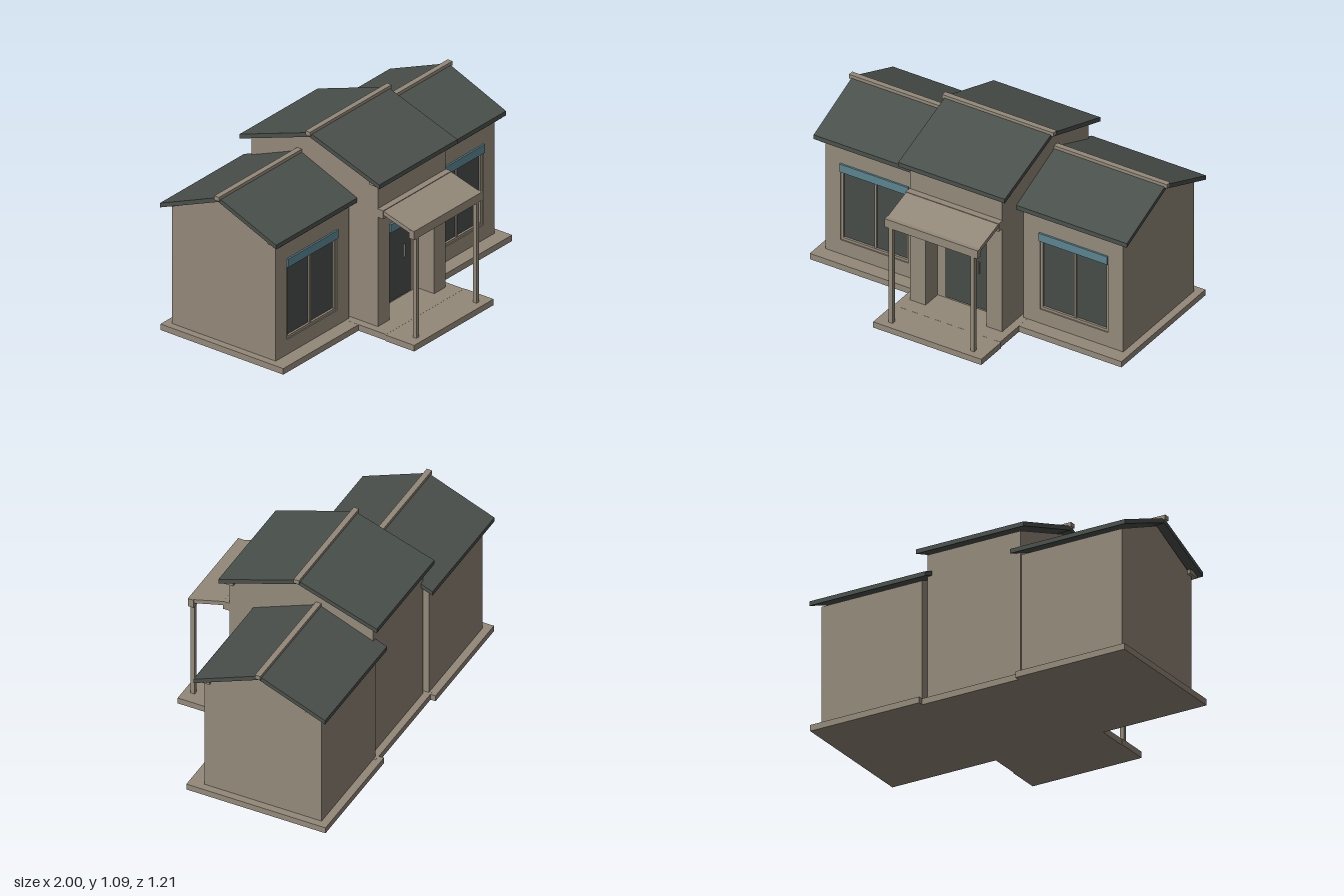
import * as THREE from 'three';

const mat = (name, color, side = THREE.FrontSide) => {
  const m = new THREE.MeshStandardMaterial({ color, side });
  m.name = name;
  return m;
};

export function createModel() {
  const house = new THREE.Group();
  house.name = 'house';
  const wall = mat('warm stone', 0x938979);
  const slate = mat('dark slate', 0x4a504b);
  const glass = mat('dark glass', 0x464c48);
  const teal = mat('teal trim', 0x5a8490);

  const add = (parent, name, geo, material) => {
    const mesh = new THREE.Mesh(geo, material);
    mesh.name = name;
    parent.add(mesh);
    return mesh;
  };
  // Box given by its limits on each axis
  const box = (parent, name, material, x0, x1, y0, y1, z0, z1) => {
    const geo = new THREE.BoxGeometry(x1 - x0, y1 - y0, z1 - z0);
    geo.translate((x0 + x1) / 2, (y0 + y1) / 2, (z0 + z1) / 2);
    return add(parent, name, geo, material);
  };
  // Side profile of [z, y] points extruded along x
  const profile = (parent, name, material, points, x0, x1) => {
    const shape = new THREE.Shape(points.map(([z, y]) => new THREE.Vector2(-z, y)));
    const geo = new THREE.ExtrudeGeometry(shape, { depth: x1 - x0, bevelEnabled: false });
    geo.rotateY(Math.PI / 2);
    geo.translate(x0, 0, 0);
    return add(parent, name, geo, material);
  };
  // Front wall layer with one rectangular opening
  const frontWall = (parent, name, x0, x1, y0, y1, z0, z1, [a, b, c, d]) => {
    const rect = (C, l, r, bt, t) => new C([[l, bt], [r, bt], [r, t], [l, t]].map(p => new THREE.Vector2(...p)));
    const shape = rect(THREE.Shape, x0, x1, y0, y1);
    shape.holes.push(rect(THREE.Path, a, b, c, d));
    const geo = new THREE.ExtrudeGeometry(shape, { depth: z1 - z0, bevelEnabled: false });
    geo.translate(0, 0, z0);
    return add(parent, name, geo, wall);
  };
  // Pitched roof slab with a ridge cap
  const roof = (parent, x0, x1, front, back, ridge, eave, apex, cap0, cap1) => {
    const t = 0.026;
    profile(parent, 'roofSlab', slate, [
      [front, eave], [ridge, apex], [back, eave],
      [back, eave + t], [ridge, apex + t], [front, eave + t]], x0, x1);
    box(parent, 'ridgeCap', wall, cap0, cap1, apex + 0.013, apex + 0.038, ridge - 0.016, ridge + 0.016);
  };

  // Side wings
  for (const s of [1, -1]) {
    const wing = new THREE.Group();
    wing.name = s > 0 ? 'leftWing' : 'rightWing';
    house.add(wing);
    const b = (name, m, x0, x1, ...rest) =>
      box(wing, name, m, Math.min(s * x0, s * x1), Math.max(s * x0, s * x1), ...rest);
    const lo = (p, q) => Math.min(s * p, s * q), hi = (p, q) => Math.max(s * p, s * q);

    b('wingPlinth', wall, 0.3, 0.98, 0, 0.036, -0.605, 0.225);
    b('wingBody', wall, 0.31, 0.937, 0.036, 0.735, -0.56, 0.115);
    frontWall(wing, 'wingFront', lo(0.31, 0.937), hi(0.31, 0.937), 0.036, 0.735, 0.115, 0.14,
      [lo(0.413, 0.842), hi(0.413, 0.842), 0.125, 0.6]);
    profile(wing, 'wingGable', wall, [[0.14, 0.735], [-0.21, 0.889], [-0.56, 0.735]],
      lo(0.31, 0.937), hi(0.31, 0.937));
    b('wingEave', wall, 0.31, 0.955, 0.73, 0.755, 0.1, 0.175);
    roof(wing, lo(0.265, 0.985), hi(0.265, 0.985), 0.18, -0.605, -0.21, 0.735, 0.895,
      lo(0.27, 1), hi(0.27, 1));

    // Window: panes, frame, mullion and teal header
    b('windowGlass', glass, 0.42, 0.835, 0.13, 0.6, 0.11, 0.12);
    b('windowMullion', wall, 0.622, 0.634, 0.13, 0.6, 0.115, 0.13);
    b('windowSill', wall, 0.413, 0.842, 0.125, 0.14, 0.115, 0.133);
    for (const x of [0.413, 0.828])
      b('windowJamb', wall, x, x + 0.014, 0.125, 0.6, 0.115, 0.133);
    b('windowHeader', teal, 0.41, 0.842, 0.56, 0.61, 0.118, 0.15);
  }

  // Central hall with recessed entrance
  const hall = new THREE.Group();
  hall.name = 'centralHall';
  house.add(hall);
  box(hall, 'hallPlinth', wall, -0.335, 0.335, 0, 0.0365, -0.575, 0.41);
  box(hall, 'hallBody', wall, -0.29, 0.29, 0.036, 0.89, -0.535, 0.2);
  frontWall(hall, 'hallFront', -0.29, 0.29, 0.03, 0.89, 0.2, 0.32, [-0.192, 0.192, 0.0355, 0.61]);
  profile(hall, 'hallGable', wall, [[0.32, 0.89], [-0.105, 1.04], [-0.535, 0.89]], -0.29, 0.29);
  box(hall, 'hallEave', wall, -0.32, 0.32, 0.887, 0.912, 0.285, 0.36);
  roof(hall, -0.335, 0.335, 0.365, -0.58, -0.1075, 0.89, 1.052, -0.35, 0.35);

  // Door
  box(hall, 'doorLeaf', glass, -0.138, 0.132, 0.048, 0.565, 0.195, 0.207);
  box(hall, 'doorHandle', wall, 0.073, 0.079, 0.27, 0.345, 0.205, 0.217);
  box(hall, 'doorHeader', teal, -0.192, 0.188, 0.56, 0.61, 0.3, 0.333);

  // Porch
  const porch = new THREE.Group();
  porch.name = 'porch';
  house.add(porch);
  box(porch, 'porchPlinth', wall, -0.34, 0.34, 0, 0.036, 0.41, 0.605);
  for (const x of [-0.257, 0.257])
    box(porch, 'porchPost', wall, x - 0.012, x + 0.012, 0.036, 0.64, 0.54, 0.564);
  box(porch, 'canopyFrontBeam', wall, -0.293, 0.293, 0.635, 0.686, 0.533, 0.568);
  box(porch, 'canopyWallBeam', wall, -0.293, 0.293, 0.692, 0.742, 0.32, 0.358);
  profile(porch, 'canopySlab', wall,
    [[0.55, 0.66], [0.55, 0.684], [0.345, 0.742], [0.345, 0.718]], -0.29, 0.29).material = wall;

  return house;
}
